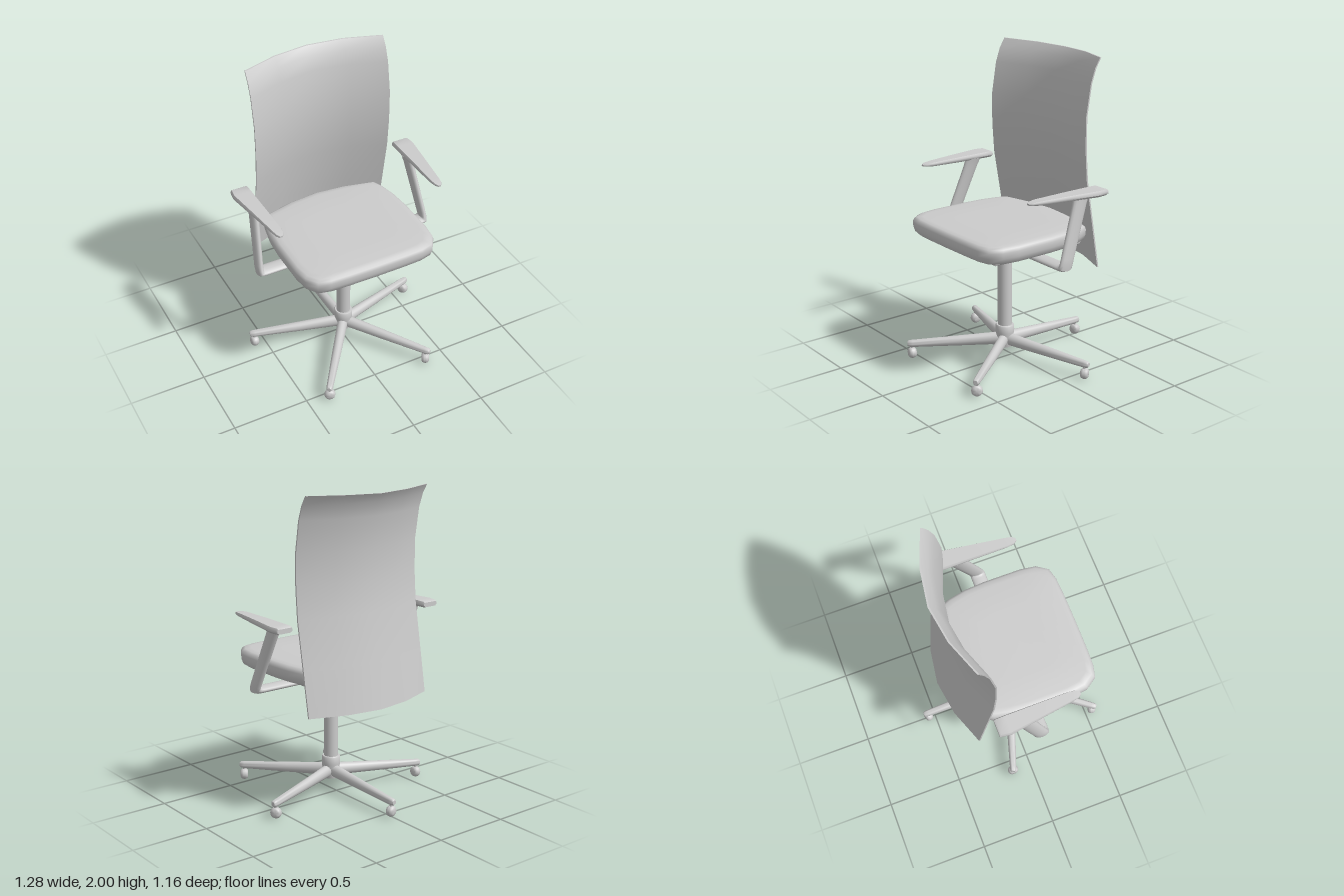
import * as THREE from 'three';
import { toCreasedNormals } from 'three/addons/utils/BufferGeometryUtils.js';

const grey = new THREE.MeshStandardMaterial({ color: 0xcccccc });

function add(parent, name, geometry, x = 0, y = 0, z = 0) {
  const mesh = new THREE.Mesh(geometry, grey);
  mesh.name = name;
  mesh.position.set(x, y, z);
  parent.add(mesh);
  return mesh;
}

// Skin over closed rings of [x, y, z] points, capped at both ends
function loft(rings, crease = 0.9) {
  const n = rings[0].length;
  const points = rings.flat();
  const index = [];
  for (let r = 0; r < rings.length - 1; r++) {
    for (let i = 0; i < n; i++) {
      const a = r * n + i, b = r * n + (i + 1) % n;
      index.push(a, b, b + n, a, b + n, a + n);
    }
  }
  [0, rings.length - 1].forEach((r, end) => {
    const centre = points.length;
    points.push([0, 1, 2].map(k => rings[r].reduce((s, p) => s + p[k], 0) / n));
    for (let i = 0; i < n; i++) {
      const a = r * n + i, b = r * n + (i + 1) % n;
      index.push(centre, end ? a : b, end ? b : a);
    }
  });
  // Signed volume tells whether the skin is inside out
  const v = points.map(p => new THREE.Vector3(...p));
  let volume = 0;
  for (let i = 0; i < index.length; i += 3) {
    volume += v[index[i]].dot(v[index[i + 1]].clone().cross(v[index[i + 2]]));
  }
  if (volume < 0) index.reverse();
  const geometry = new THREE.BufferGeometry();
  geometry.setAttribute('position', new THREE.Float32BufferAttribute(points.flat(), 3));
  geometry.setIndex(index);
  return toCreasedNormals(geometry, crease);
}

// Elliptical ring around c, spanned by half-axes u and v
function ellipse(c, u, v, sides = 16) {
  return Array.from({ length: sides }, (_, i) => {
    const a = i / sides * Math.PI * 2;
    return c.map((k, j) => k + u[j] * Math.cos(a) + v[j] * Math.sin(a));
  });
}

function lathe(profile, sides = 24) {
  return toCreasedNormals(
    new THREE.LatheGeometry(profile.map(p => new THREE.Vector2(...p)), sides), 0.7);
}

// Thin shell: a box bent by a side profile (y, z) and a plan curve
function backrestGeometry() {
  const rows = [[0.67, -0.317], [0.95, -0.268], [1.25, -0.215], [1.45, -0.2],
    [1.65, -0.2], [1.85, -0.233], [1.94, -0.265], [2.0, -0.302]];
  const sag = [0.12, 0.085, 0];
  const geometry = new THREE.BoxGeometry(4, rows.length - 1, 1, 4, rows.length - 1, 1);
  const p = geometry.attributes.position;
  for (let i = 0; i < p.count; i++) {
    const column = Math.round(p.getX(i));
    const [y, z] = rows[Math.round(p.getY(i) + (rows.length - 1) / 2)];
    const back = p.getZ(i) < 0 ? 0.01 : 0;
    p.setXYZ(i, column * 0.2325, y - (y > 1.95 ? (2 - Math.abs(column)) * 0.004 : 0),
      z - sag[Math.abs(column)] - back);
  }
  geometry.computeVertexNormals();
  return geometry;
}

// Rounded cushion stacked from scaled copies of one outline
function seatGeometry() {
  const half = [[0.2, 0.513], [0.32, 0.508], [0.4, 0.488], [0.45, 0.415], [0.465, 0.31],
    [0.465, 0.05], [0.455, -0.09], [0.43, -0.21], [0.405, -0.27], [0.2, -0.32]];
  const outline = [[0, 0.515], ...half, [0, -0.34],
    ...half.slice().reverse().map(([x, z]) => [-x, z])];
  const layers = [[0.84, 0.95], [0.85, 0.975], [0.88, 0.995], [0.915, 1],
    [0.935, 0.985], [0.946, 0.95], [0.95, 0.88], [0.952, 0.5]];
  return loft(layers.map(([y, s]) => outline.map(([x, z]) => [x * s, y, 0.09 + (z - 0.09) * s])), 1.2);
}

// Tapered pad: slices along z as [z, inner x, outer x, bottom, top]
function armPadGeometry() {
  const slices = [[-0.245, 0.52, 0.63, 1.198, 1.228], [-0.235, 0.516, 0.632, 1.195, 1.234],
    [-0.175, 0.514, 0.64, 1.195, 1.235], [0.03, 0.514, 0.61, 1.2, 1.235],
    [0.235, 0.514, 0.58, 1.208, 1.233], [0.285, 0.52, 0.571, 1.212, 1.23], [0.307, 0.535, 0.555, 1.215, 1.226]];
  return loft(slices.map(([z, a, b, low, high]) => {
    const c = (b - a) * 0.12, h = (high - low) * 0.35;
    return [[a + c, low, z], [b - c, low, z], [b, low + h, z], [b, high - h, z],
      [b - c / 2, high, z], [a + c / 2, high, z], [a, high - h, z], [a, low + h, z]];
  }), 0.8);
}

// Flat oval bar leaving the mount, bending up to carry the pad
function armTubeGeometry() {
  const path = [ // centre, half thickness vector, half depth
    [[0.05, 0.783, 0.055], [0, 0.021], 0.05],
    [[0.55, 0.783, 0.055], [0, 0.021], 0.05],
    [[0.575, 0.784, 0.055], [-0.008, 0.022], 0.05],
    [[0.589, 0.79, 0.054], [-0.02, 0.02], 0.05],
    [[0.59, 0.81, 0.048], [-0.022, 0.004], 0.05],
    [[0.587, 0.84, 0.037], [-0.022, 0], 0.05],
    [[0.553, 1.15, -0.08], [-0.025, 0], 0.054],
    [[0.546, 1.205, -0.1], [-0.031, 0], 0.058],
  ];
  return loft(path.map(([c, [tx, ty], d]) => ellipse(c, [tx, ty, 0], [0, 0, d])));
}

export function createModel() {
  const chair = new THREE.Group();
  chair.name = 'officeChair';
  const axisZ = 0.058;

  add(chair, 'backrest', backrestGeometry());
  add(chair, 'seatCushion', seatGeometry());

  // Support under the cushion
  add(chair, 'seatPlate', new THREE.BoxGeometry(0.66, 0.03, 0.66), 0, 0.83, 0.07);
  for (const side of [-1, 1]) {
    const rail = [[0.805, 0.032, 0.325], [0.812, 0.042, 0.332], [0.845, 0.048, 0.342]];
    add(chair, 'seatRail', loft(rail.map(([y, w, l]) =>
      [[-w, y, -l], [w, y, -l], [w, y, l], [-w, y, l]]), 0.5), side * 0.318, 0, 0.072);
  }

  // Central column
  add(chair, 'seatMount', lathe([[0, 0.68], [0.075, 0.68], [0.085, 0.69], [0.102, 0.8],
    [0.098, 0.82], [0, 0.82]]), 0, 0, axisZ);
  add(chair, 'column', new THREE.CylinderGeometry(0.046, 0.046, 0.5, 24), 0, 0.45, axisZ);
  add(chair, 'baseHub', lathe([[0, 0.08], [0.045, 0.08], [0.053, 0.12], [0.06, 0.18],
    [0.06, 0.225], [0.055, 0.232], [0, 0.232]]), 0, 0, axisZ);

  // Armrests
  for (const side of [-1, 1]) {
    const arm = new THREE.Group();
    arm.name = side > 0 ? 'leftArmrest' : 'rightArmrest';
    arm.scale.x = side;
    add(arm, 'armTube', armTubeGeometry());
    add(arm, 'armPad', armPadGeometry());
    chair.add(arm);
  }

  // Five-legged base, one leg pointing straight back
  const legRings = [[0.02, 0.034, 0.09, 0.175], [0.3, 0.03, 0.083, 0.15], [0.6, 0.022, 0.076, 0.124],
    [0.625, 0.02, 0.078, 0.122], [0.635, 0.013, 0.085, 0.115]];
  const legGeometry = loft(legRings.map(([d, w, low, high]) =>
    ellipse([0, (low + high) / 2, -d], [w, 0, 0], [0, (high - low) / 2, 0])));
  const wheelGeometry = lathe([[0, -0.025], [0.022, -0.025], [0.031, -0.018], [0.036, -0.006],
    [0.036, 0.006], [0.031, 0.018], [0.022, 0.025], [0, 0.025]], 16).rotateX(Math.PI / 2);
  for (let i = 0; i < 5; i++) {
    const leg = new THREE.Group();
    leg.name = 'baseLeg';
    leg.position.z = axisZ;
    leg.rotation.y = i * Math.PI * 2 / 5;
    add(leg, 'legSpoke', legGeometry);
    add(leg, 'casterStem', new THREE.CylinderGeometry(0.01, 0.01, 0.05, 10), 0, 0.07, -0.605);
    add(leg, 'casterWheel', wheelGeometry, 0, 0.036, -0.605).rotation.y = 0.35;
    chair.add(leg);
  }
  return chair;
}
